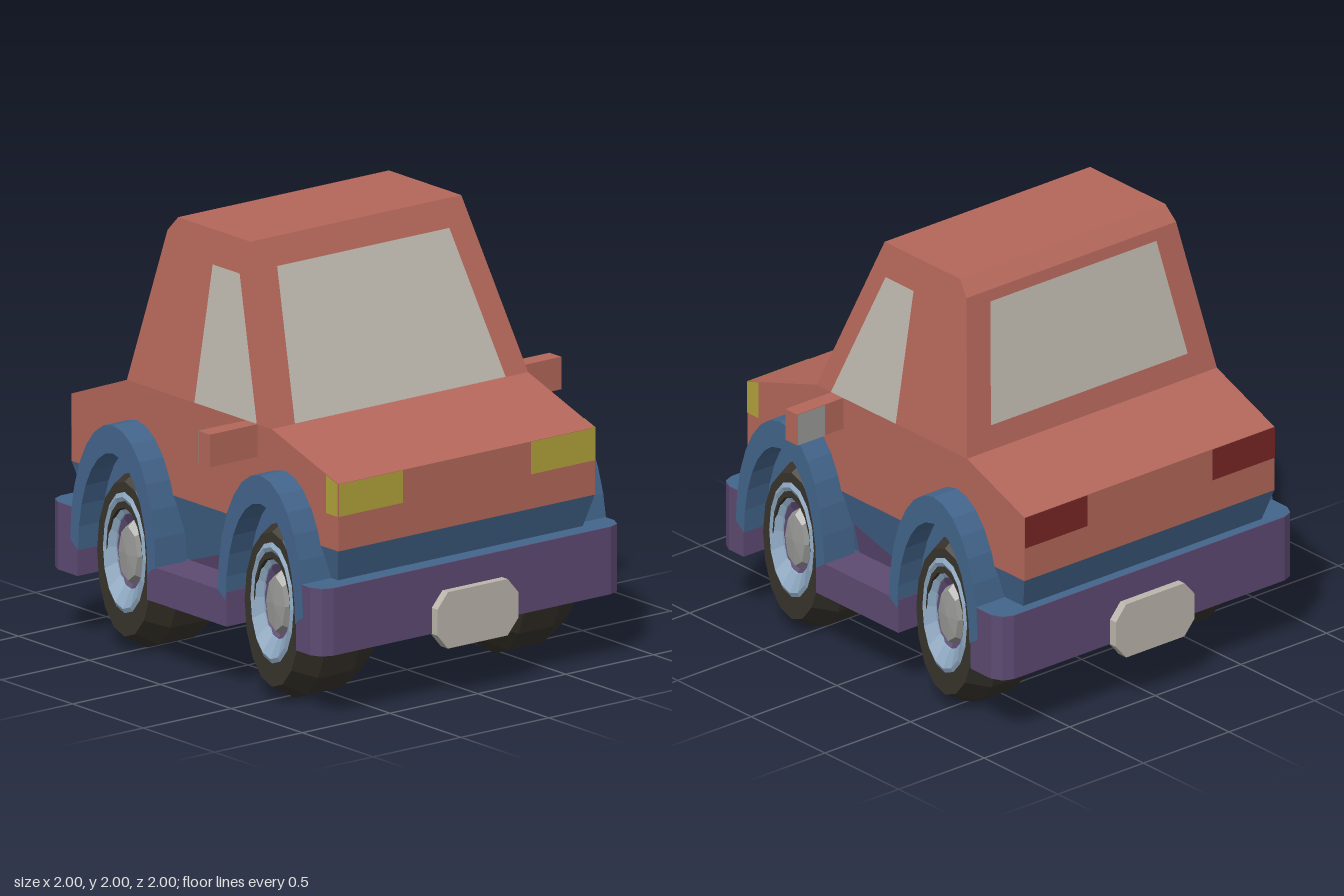
import * as THREE from 'three';

const RED = 0xb4675a, BLUE = 0x43658c, PURPLE = 0x5d4a72, GLASS = 0xbcb7ad, YELLOW = 0xb3a33c;
const DARK_RED = 0x7a2525, TYRE = 0x38342c, RIM = 0x8fa9c2, GREY = 0x9a9b98;

export function createModel() {
  const model = new THREE.Group();

  const make = (name, geometry, color, parent = model) => {
    const material = new THREE.MeshStandardMaterial({ color, flatShading: true });
    const mesh = new THREE.Mesh(geometry, material);
    mesh.name = name;
    parent.add(mesh);
    return mesh;
  };

  const box = (name, color, x0, x1, y0, y1, z0, z1) =>
    make(name, new THREE.BoxGeometry(x1 - x0, y1 - y0, z1 - z0), color)
      .position.set((x0 + x1) / 2, (y0 + y1) / 2, (z0 + z1) / 2);

  // Thin flat convex panel from its corners
  const panel = (name, color, corners) => {
    const pos = [];
    for (let i = 1; i < corners.length - 1; i++) pos.push(...corners[0], ...corners[i], ...corners[i + 1]);
    const g = new THREE.BufferGeometry();
    g.setAttribute('position', new THREE.Float32BufferAttribute(pos, 3));
    g.computeVertexNormals();
    make(name, g, color).material.side = THREE.DoubleSide;
  };

  // Stacked rectangular sections [y, x0, x1, halfWidth], closed at both ends
  const loft = (name, color, sections) => {
    const rings = sections.map(([y, a, b, w]) => [[a, y, w], [b, y, w], [b, y, -w], [a, y, -w]]);
    const pos = [];
    const quad = (a, b, c, d) => pos.push(...a, ...b, ...c, ...a, ...c, ...d);
    for (let i = 0; i < rings.length - 1; i++)
      for (let j = 0; j < 4; j++) {
        const k = (j + 1) % 4;
        quad(rings[i][j], rings[i][k], rings[i + 1][k], rings[i + 1][j]);
      }
    quad(...rings[rings.length - 1]);
    quad(...[...rings[0]].reverse());
    const g = new THREE.BufferGeometry();
    g.setAttribute('position', new THREE.Float32BufferAttribute(pos, 3));
    g.computeVertexNormals();
    make(name, g, color);
  };

  const shapeOf = pts => new THREE.Shape(pts.map(([x, y]) => new THREE.Vector2(x, y)));
  const extrude = (pts, depth) => new THREE.ExtrudeGeometry(shapeOf(pts), { depth, bevelEnabled: false });

  // Main body with sloping bonnet and boot
  const bodyProfile = [[-0.96, 0.77], [0.92, 0.77], [0.92, 1.08], [0.45, 1.23], [-0.57, 1.23], [-0.96, 1.08]];
  make('body', extrude(bodyProfile, 1.46).translate(0, 0, -0.73), RED);
  loft('cabin', RED, [[1.23, -0.57, 0.45, 0.73], [1.93, -0.43, 0.168, 0.612], [2, -0.37, 0.14, 0.6]]);
  loft('skirt', BLUE, [[0.46, -0.86, 0.83, 0.66], [0.77, -0.96, 0.92, 0.73]]);
  box('floor', PURPLE, -0.9, 0.9, 0.31, 0.465, -0.73, 0.73);

  // Windscreen and rear window, following the slope of the cabin
  const e = 0.004;
  const screen = (name, y0, y1, w0, w1, xAt) => panel(name, GLASS,
    [[xAt(y0), y0, w0], [xAt(y0), y0, -w0], [xAt(y1), y1, -w1], [xAt(y1), y1, w1]]);
  screen('windscreen', 1.232, 1.88, 0.6, 0.49, y => 0.45 + e - (y - 1.23) * 0.403);
  screen('rearWindow', 1.34, 1.88, 0.575, 0.485, y => -0.57 - e + (y - 1.23) * 0.2);

  // Bumpers with chamfered corners, each with a ledge and a plate
  for (const [name, s, inner] of [['front', 1, 0.79], ['rear', -1, -0.75]]) {
    const half = [[inner, 0.865], [s * 0.89, 0.865], [s * 0.94, 0.84], [s * 0.96, 0.79]];
    const outline = [...half, ...half.map(([x, z]) => [x, -z]).reverse()];
    make(name + 'Bumper', extrude(outline, 0.31).rotateX(-Math.PI / 2).translate(0, 0.31, 0), PURPLE);
    panel(name + 'BumperLedge', BLUE, outline.map(([x, z]) => [x, 0.622, z]));

    const plate = [[-0.17, 0.24], [0.17, 0.24], [0.23, 0.31], [0.23, 0.43],
      [0.17, 0.5], [-0.17, 0.5], [-0.23, 0.43], [-0.23, 0.31]];
    make(name + 'Plate', extrude(plate, 0.05).rotateY(s * Math.PI / 2).translate(s * 0.95, 0, 0), GLASS);
  }

  // Points along half an ellipse above a given centre
  const arc = (cx, cy, rx, ry, n = 14) => Array.from({ length: n + 1 }, (_, i) => {
    const a = Math.PI * i / n;
    return [cx + rx * Math.cos(a), cy + ry * Math.sin(a)];
  });

  const wheelX = { front: 0.54, rear: -0.5 };

  for (const [side, s] of [['left', 1], ['right', -1]]) {
    // Side window, lamps, sill and mirror
    const zAt = y => s * (0.73 + e - (y - 1.23) * 0.169);
    panel(side + 'SideWindow', GLASS,
      [[-0.09, 1.232], [0.35, 1.232], [0.1, 1.85], [-0.09, 1.85]].map(([x, y]) => [x, y, zAt(y)]));
    const lamp = x => [[x, 0.93, s * 0.365], [x, 0.93, s * 0.73], [x, 1.08, s * 0.73], [x, 1.08, s * 0.365]];
    panel(side + 'Headlight', YELLOW, lamp(0.92 + e));
    panel(side + 'HeadlightSide', YELLOW,
      [[0.84, 0.93], [0.92, 0.93], [0.92, 1.08], [0.84, 1.105]].map(([x, y]) => [x, y, s * (0.73 + e)]));
    panel(side + 'TailLight', DARK_RED, lamp(-0.96 - e));
    const [zIn, zOut] = s > 0 ? [0.6, 0.865] : [-0.865, -0.6];
    box(side + 'Sill', PURPLE, -0.26, 0.3, 0.31, 0.47, zIn, zOut);
    panel(side + 'SillTrim', PURPLE,
      [[-0.2, 0.47, s * 0.668], [0.23, 0.47, s * 0.668], [0.23, 0.62, s * 0.702]]);
    const [mIn, mOut] = s > 0 ? [0.7, 1] : [-1, -0.7];
    box(side + 'Mirror', RED, 0.27, 0.35, 1.08, 1.23, mIn, mOut);
    panel(side + 'MirrorGlass', GREY,
      [[1.08, 0.84], [1.08, 1], [1.23, 1], [1.23, 0.84]].map(([y, z]) => [0.27 - e, y, s * z]));

    for (const [end, cx] of Object.entries(wheelX)) {
      // Fender arch with the back wall of the wheel well
      const band = [...arc(cx, 0.47, 0.3, 0.59), ...arc(cx, 0.43, 0.245, 0.5).reverse()];
      make(`${end}${side}Fender`, extrude(band, 0.177), BLUE).position.z = s > 0 ? 0.69 : -0.867;
      make(`${end}${side}WheelWell`, extrude(arc(cx, 0.45, 0.27, 0.55), 0.046), BLUE)
        .position.z = s > 0 ? 0.69 : -0.736;

      // Oval wheel turned on the z axis
      const wheel = new THREE.Group();
      wheel.name = `${end}${side}Wheel`;
      wheel.position.set(cx, 0.432, 0);
      wheel.scale.set(0.233, 0.43, 1);
      wheel.rotation.y = s > 0 ? 0 : Math.PI;
      model.add(wheel);
      const turn = (name, color, pts, n, lift = 0) => make(name,
        new THREE.LatheGeometry(pts.map(([r, z]) => new THREE.Vector2(r, z)), n)
          .rotateX(Math.PI / 2).translate(0, lift, 0), color, wheel);
      turn('tyre', TYRE, [[0, 0.34], [0.83, 0.34], [1, 0.47], [1, 0.67], [0.83, 0.8], [0.55, 0.8], [0.5, 0.74]], 16);
      turn('rim', RIM, [[0.65, 0.8], [0.6, 0.81], [0.41, 0.77], [0.38, 0.73]], 16, 0.07);
      turn('hubRecess', PURPLE, [[0.42, 0.765], [0.3, 0.74], [0, 0.74]], 10, 0.07);
      turn('hub', GREY, [[0.36, 0.74], [0.29, 0.78], [0, 0.79]], 8, 0.05);
    }
  }

  return model;
}
